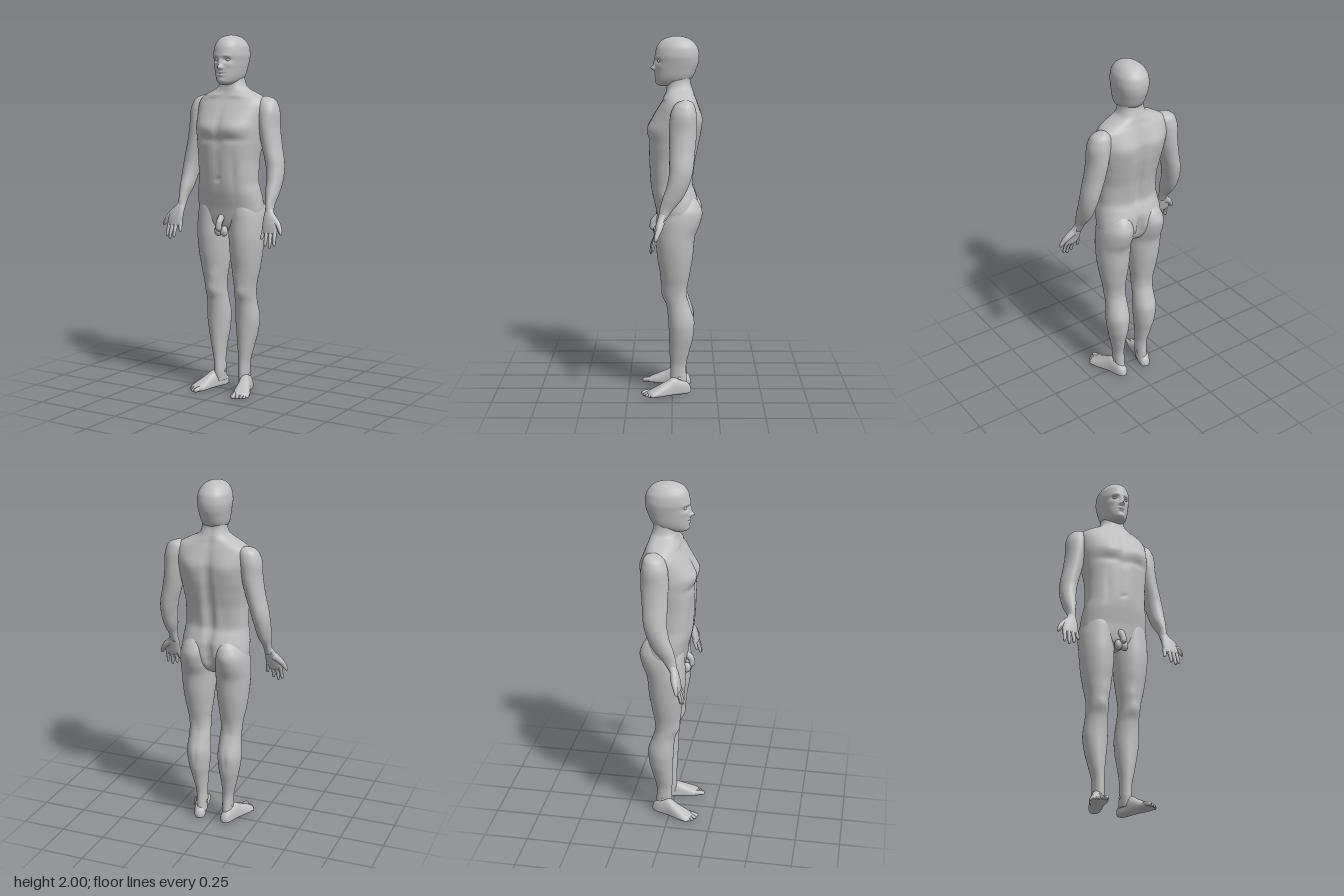
import * as THREE from 'three';

const skin = new THREE.MeshStandardMaterial({ color: 0xc0c0c0 });
skin.name = 'plain grey';

// Smooth monotone interpolation of column c of the sections at height y
function sample(secs, c, y) {
  const n = secs.length;
  let k = 0;
  while (k < n - 2 && y > secs[k + 1][0]) k++;
  const slope = i => (secs[i + 1][c] - secs[i][c]) / (secs[i + 1][0] - secs[i][0]);
  const tangent = i => {
    if (i === 0) return slope(0);
    if (i === n - 1) return slope(n - 2);
    const a = slope(i - 1), b = slope(i);
    return a * b <= 0 ? 0 : 2 * a * b / (a + b);
  };
  const h = secs[k + 1][0] - secs[k][0], t = (y - secs[k][0]) / h, t2 = t * t, t3 = t2 * t;
  return secs[k][c] * (2 * t3 - 3 * t2 + 1) + secs[k + 1][c] * (3 * t2 - 2 * t3)
    + h * (tangent(k) * (t3 - 2 * t2 + t) + tangent(k + 1) * (t3 - t2));
}

// Skin over horizontal sections [y, centreX, centreZ, radiusX, frontZ, backZ], lowest first.
// Bumps [side, x, y, widthX, widthY, amount] push the front (1) or back (-1) outwards, on both halves.
function loft(secs, { rows = 60, cols = 48, power = 2, bumps = [] } = {}) {
  const pos = [], idx = [], y0 = secs[0][0], y1 = secs[secs.length - 1][0];
  const bend = (v, p) => Math.sign(v) * Math.abs(v) ** (2 / p);
  for (let j = 0; j <= rows; j++) {
    const y = y0 + (y1 - y0) * (1 - Math.cos(Math.PI * j / rows)) / 2;
    const [cx, cz, rx, zf, zb] = [1, 2, 3, 4, 5].map(c => sample(secs, c, y));
    for (let i = 0; i < cols; i++) {
      const a = i / cols * Math.PI * 2, s = Math.sin(a);
      const x = cx + rx * bend(Math.cos(a), power);
      let z = cz + Math.abs(bend(s, power)) * ((s > 0 ? zf : zb) - cz);
      for (const [side, bx, by, wx, wy, amount] of bumps) {
        if (s * side <= 0) continue;
        const u = (Math.abs(x) - bx) / wx, v = (y - by) / wy;
        z += side * amount * Math.min(1, Math.abs(s) * 2) * Math.exp(-u * u - v * v);
      }
      pos.push(x, y, z);
      if (j < rows) {
        const p = j * cols + i, q = j * cols + (i + 1) % cols;
        idx.push(p, p + cols, q, q, p + cols, q + cols);
      }
    }
  }
  const low = pos.length / 3, top = rows * cols, l = secs[0], h = secs[secs.length - 1];
  pos.push(l[1], y0, (l[4] + l[5]) / 2, h[1], y1, (h[4] + h[5]) / 2);
  for (let i = 0; i < cols; i++) {
    const k = (i + 1) % cols;
    idx.push(low, i, k, low + 1, top + k, top + i);
  }
  const geo = new THREE.BufferGeometry();
  geo.setAttribute('position', new THREE.Float32BufferAttribute(pos, 3));
  geo.setIndex(idx);
  geo.computeVertexNormals();
  return geo;
}

// Tapered finger or toe with a round tip
function digit(points, r0, r1) {
  const curve = new THREE.CatmullRomCurve3(points.map(p => new THREE.Vector3(...p)));
  const rows = 20, cols = 12, geo = new THREE.TubeGeometry(curve, rows, 1, cols);
  const pos = geo.attributes.position, v = new THREE.Vector3();
  for (let j = 0; j <= rows; j++) {
    const t = j / rows, c = curve.getPointAt(t), e = Math.max(0, (t - 0.8) / 0.2);
    const r = (r0 + (r1 - r0) * t) * Math.sqrt(Math.max(0.0004, 1 - e * e));
    for (let i = 0; i <= cols; i++) {
      const k = j * (cols + 1) + i;
      v.fromBufferAttribute(pos, k).sub(c).multiplyScalar(r).add(c);
      pos.setXYZ(k, v.x, v.y, v.z);
    }
  }
  geo.computeVertexNormals();
  return geo;
}

function ellipsoid(x, y, z, rx, ry, rz) {
  return new THREE.SphereGeometry(1, 24, 16).scale(rx, ry, rz).translate(x, y, z);
}

function mirrored(geo) {
  const m = geo.clone().scale(-1, 1, 1), ix = m.index.array;
  for (let i = 0; i < ix.length; i += 3) [ix[i], ix[i + 1]] = [ix[i + 1], ix[i]];
  m.computeVertexNormals();
  return m;
}

export function createModel() {
  const model = new THREE.Group();
  model.name = 'standingFigure';
  const add = (name, geo) => {
    const mesh = new THREE.Mesh(geo, skin);
    mesh.name = name;
    model.add(mesh);
  };
  const pair = (name, geo) => {
    add('left' + name, geo);
    add('right' + name, mirrored(geo));
  };

  // Torso and neck
  add('torso', loft([
    [0.92, 0, -0.02, 0.03, 0.05, -0.06], [0.95, 0, -0.02, 0.12, 0.075, -0.1],
    [1.0, 0, -0.02, 0.182, 0.085, -0.13], [1.05, 0, -0.02, 0.193, 0.092, -0.142],
    [1.1, 0, -0.01, 0.19, 0.103, -0.14], [1.15, 0, 0, 0.183, 0.114, -0.125],
    [1.2, 0, 0, 0.175, 0.121, -0.107], [1.3, 0, 0, 0.175, 0.127, -0.118],
    [1.4, 0, -0.01, 0.186, 0.13, -0.142], [1.48, 0, -0.03, 0.197, 0.133, -0.156],
    [1.55, 0, -0.05, 0.205, 0.113, -0.158], [1.61, 0, -0.06, 0.21, 0.08, -0.145],
    [1.65, 0, -0.06, 0.197, 0.055, -0.133], [1.68, 0, -0.05, 0.15, 0.042, -0.122],
    [1.7, 0, -0.04, 0.105, 0.035, -0.117], [1.72, 0, -0.04, 0.077, 0.032, -0.11],
    [1.76, 0, -0.04, 0.065, 0.03, -0.1], [1.8, 0, -0.04, 0.062, 0.03, -0.105],
  ], {
    rows: 110, cols: 96, power: 2.4, bumps: [
      [1, 0.09, 1.5, 0.075, 0.045, 0.015], [1, 0, 1.53, 0.013, 0.08, -0.008], // chest
      [1, 0.09, 1.435, 0.07, 0.018, -0.008], [1, 0, 1.42, 0.03, 0.03, -0.007],
      [1, 0, 1.3, 0.01, 0.09, -0.005], [1, 0, 1.215, 0.01, 0.01, -0.012], // belly
      [1, 0.09, 1.25, 0.02, 0.1, -0.006], [1, 0.07, 1.67, 0.045, 0.009, 0.007],
      [-1, 0, 1.38, 0.022, 0.24, -0.022], [-1, 0.1, 1.55, 0.06, 0.07, 0.012], // back
      [-1, 0.045, 1.25, 0.025, 0.1, 0.006], [-1, 0, 1.03, 0.018, 0.07, -0.03],
    ],
  }));

  // Head
  add('head', loft([
    [1.728, 0, 0.03, 0.012, 0.06, 0.0], [1.735, 0, 0.02, 0.036, 0.08, -0.04],
    [1.75, 0, -0.01, 0.056, 0.089, -0.08], [1.78, 0, -0.03, 0.071, 0.093, -0.112],
    [1.82, 0, -0.035, 0.079, 0.094, -0.13], [1.86, 0, -0.04, 0.086, 0.094, -0.143],
    [1.89, 0, -0.04, 0.09, 0.096, -0.146], [1.93, 0, -0.04, 0.086, 0.09, -0.14],
    [1.965, 0, -0.035, 0.07, 0.071, -0.118], [1.985, 0, -0.03, 0.05, 0.045, -0.092],
    [1.996, 0, -0.025, 0.026, 0.01, -0.058], [2.0, 0, -0.022, 0.004, -0.018, -0.026],
  ], {
    rows: 100, cols: 112, power: 2.15, bumps: [
      [1, 0, 1.826, 0.012, 0.013, 0.024], [1, 0, 1.853, 0.01, 0.022, 0.011], // nose
      [1, 0.014, 1.822, 0.007, 0.007, 0.007], [1, 0.034, 1.866, 0.017, 0.012, -0.014], // eye sockets
      [1, 0.03, 1.888, 0.024, 0.008, 0.004], [1, 0.05, 1.838, 0.016, 0.016, 0.004],
      [1, 0, 1.799, 0.02, 0.006, 0.005], [1, 0, 1.791, 0.026, 0.003, -0.005], // mouth
      [1, 0, 1.783, 0.018, 0.006, 0.005], [1, 0, 1.752, 0.022, 0.012, 0.006],
    ],
  }));
  pair('Eye', ellipsoid(0.034, 1.866, 0.07, 0.013, 0.009, 0.012));

  // Arms
  pair('Arm', loft([
    [1.03, 0.284, 0.055, 0.022, 0.076, 0.034], [1.08, 0.283, 0.036, 0.022, 0.07, 0.002],
    [1.15, 0.279, 0.005, 0.035, 0.052, -0.056], [1.22, 0.276, -0.025, 0.043, 0.028, -0.09],
    [1.3, 0.266, -0.046, 0.049, 0.016, -0.112], [1.4, 0.242, -0.055, 0.053, 0.016, -0.122],
    [1.5, 0.224, -0.058, 0.056, 0.018, -0.13], [1.58, 0.215, -0.062, 0.063, 0.012, -0.13],
    [1.63, 0.206, -0.067, 0.057, -0.005, -0.122], [1.655, 0.2, -0.07, 0.04, -0.028, -0.108],
    [1.667, 0.195, -0.07, 0.01, -0.06, -0.08],
  ], { rows: 70 }));

  // Hands, palms forward with thumbs outwards
  pair('Palm', loft([
    [0.928, 0.309, 0.09, 0.03, 0.095, 0.083], [0.94, 0.309, 0.088, 0.042, 0.1, 0.074],
    [0.97, 0.307, 0.08, 0.046, 0.097, 0.062], [1.01, 0.302, 0.068, 0.042, 0.088, 0.048],
    [1.04, 0.291, 0.057, 0.028, 0.078, 0.038], [1.07, 0.284, 0.045, 0.018, 0.065, 0.02],
  ], { rows: 30, cols: 32, power: 2.4 }));
  const fingers = [['Little', 0.273, 0.262, 0.9, 0.1], ['Ring', 0.295, 0.296, 0.866, 0.115],
    ['Middle', 0.318, 0.324, 0.855, 0.115], ['Index', 0.34, 0.349, 0.869, 0.108]];
  for (const [name, x0, x1, y1, z1] of fingers) {
    pair(name + 'Finger', digit([[x0, 0.96, 0.08],
      [(x0 + x1) / 2, (0.95 + y1) / 2, z1 - 0.01], [x1, y1, z1]], 0.0125, 0.008));
  }
  pair('Thumb', digit([[0.31, 1.02, 0.062], [0.346, 0.99, 0.07], [0.365, 0.964, 0.08],
    [0.382, 0.93, 0.09]], 0.022, 0.009));

  // Legs and buttocks
  pair('Leg', loft([
    [0.04, 0.08, -0.045, 0.03, 0.005, -0.085], [0.1, 0.08, -0.035, 0.031, 0.012, -0.08],
    [0.15, 0.081, -0.033, 0.031, 0.012, -0.077], [0.25, 0.088, -0.037, 0.044, 0.016, -0.096],
    [0.34, 0.092, -0.045, 0.06, 0.019, -0.118], [0.42, 0.094, -0.045, 0.068, 0.022, -0.124],
    [0.52, 0.093, -0.035, 0.062, 0.034, -0.095], [0.57, 0.095, -0.025, 0.06, 0.053, -0.085],
    [0.62, 0.097, -0.02, 0.063, 0.058, -0.086], [0.7, 0.1, -0.02, 0.077, 0.068, -0.098],
    [0.8, 0.102, -0.02, 0.09, 0.085, -0.114], [0.9, 0.103, -0.02, 0.097, 0.092, -0.123],
    [0.98, 0.102, -0.025, 0.098, 0.088, -0.152], [1.04, 0.1, -0.03, 0.093, 0.085, -0.165],
    [1.09, 0.094, -0.03, 0.08, 0.075, -0.15], [1.13, 0.088, -0.03, 0.055, 0.06, -0.118],
    [1.16, 0.08, -0.03, 0.02, 0.02, -0.08],
  ], {
    rows: 110, bumps: [[1, 0.095, 0.585, 0.03, 0.03, 0.005], [1, 0.07, 0.66, 0.03, 0.035, 0.005],
      [-1, 0.095, 0.59, 0.025, 0.05, -0.006], [-1, 0.09, 0.42, 0.01, 0.06, -0.004]],
  }));
  pair('AnkleBone', ellipsoid(0.08, 0.095, -0.04, 0.036, 0.018, 0.017));

  // Feet, turned out; the loft runs from heel to toes
  const placeFoot = geo => geo.rotateY(0.3).translate(0.072, 0, -0.104);
  pair('Foot', placeFoot(loft([
    [0, 0, -0.02, 0.006, -0.012, -0.03], [0.012, 0, -0.02, 0.025, -0.002, -0.055],
    [0.05, 0, -0.02, 0.034, 0, -0.088], [0.1, 0, -0.02, 0.035, 0, -0.1],
    [0.15, 0.002, -0.018, 0.04, 0, -0.076], [0.2, 0.003, -0.014, 0.047, 0, -0.051],
    [0.235, 0.002, -0.012, 0.046, 0, -0.034], [0.252, -0.004, -0.01, 0.034, -0.001, -0.025],
    [0.26, -0.008, -0.01, 0.012, -0.006, -0.015],
  ], { rows: 50, cols: 40, power: 2.4 }).rotateX(Math.PI / 2)));
  const toes = [['Big', -0.031, 0.281, 0.0145], ['Second', -0.008, 0.279, 0.0105],
    ['Third', 0.011, 0.271, 0.01], ['Fourth', 0.028, 0.259, 0.0095], ['Little', 0.043, 0.243, 0.009]];
  for (const [name, x, tip, r] of toes) {
    pair(name + 'Toe', placeFoot(digit([[x * 0.9, 0.018, tip - 0.065],
      [x, 0.019, tip - 0.03], [x, r * 0.85, tip]], r * 1.05, r * 0.85)));
  }

  // Groin
  add('groinFront', digit([[0, 1.005, 0.075], [0, 0.975, 0.105], [0, 0.925, 0.112]], 0.02, 0.016));
  pair('GroinSide', ellipsoid(0.018, 0.925, 0.085, 0.022, 0.03, 0.022));

  return model;
}
